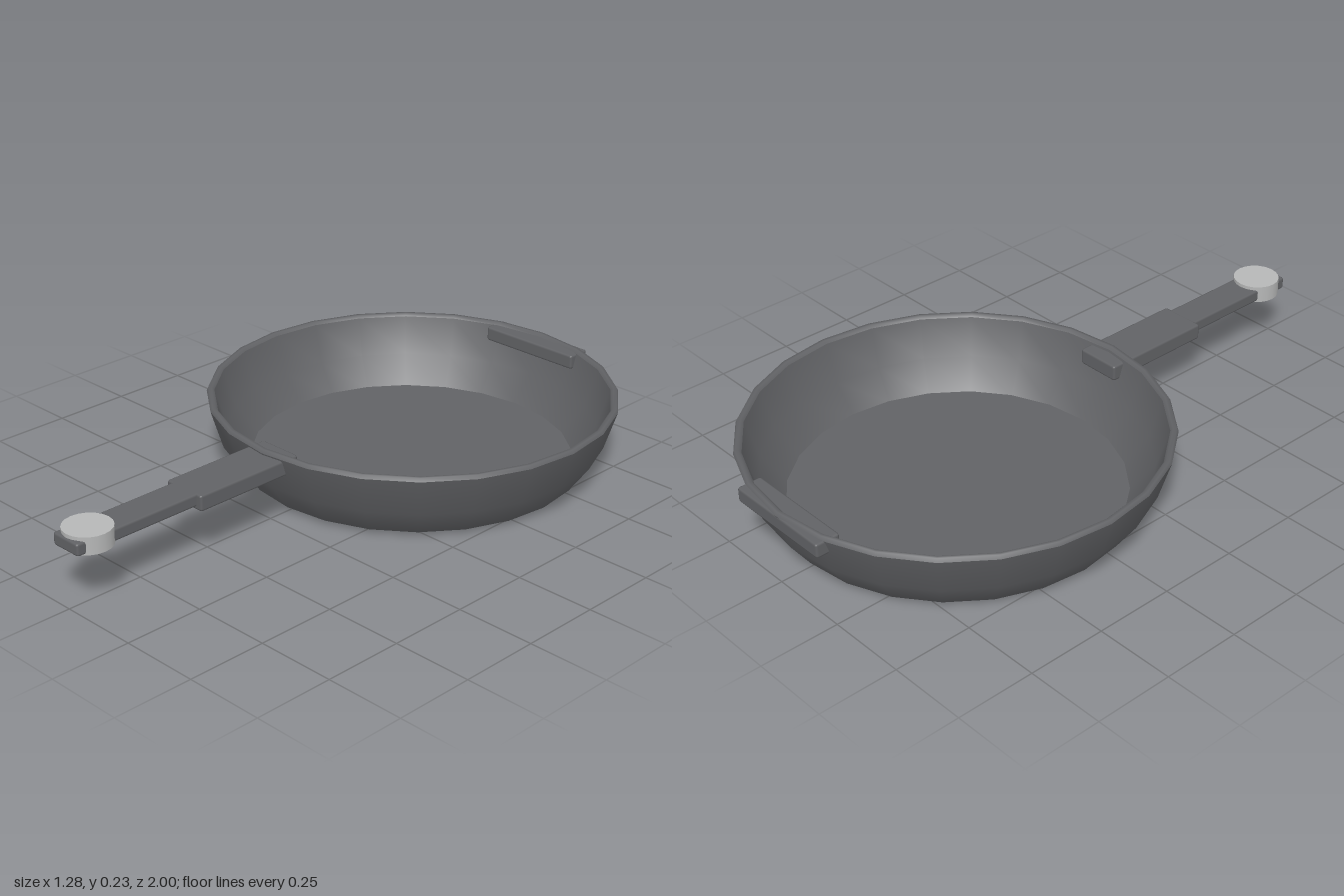
import * as THREE from 'three';
import { RoundedBoxGeometry } from 'three/addons/geometries/RoundedBoxGeometry.js';

export function createModel() {
  const model = new THREE.Group();
  model.name = 'fryingPan';

  const iron = new THREE.MeshStandardMaterial({ color: 0x616265 });
  iron.name = 'dark iron';
  const steel = new THREE.MeshStandardMaterial({ color: 0xb6b7b7 });
  steel.name = 'light steel';

  const add = (parent, name, geometry, material, x = 0, y = 0, z = 0) => {
    const mesh = new THREE.Mesh(geometry, material);
    mesh.name = name;
    mesh.position.set(x, y, z);
    parent.add(mesh);
    return mesh;
  };

  // Pan body: one profile, split where the surface has a hard edge
  const body = new THREE.Group();
  body.name = 'panBody';
  body.position.z = -0.36;
  model.add(body);
  const sections = {
    base: [[0, 0], [0.515, 0]],
    outerWall: [[0.515, 0], [0.54, 0.012], [0.602, 0.1], [0.64, 0.224]],
    rim: [[0.64, 0.224], [0.634, 0.235], [0.624, 0.235], [0.616, 0.226]],
    innerWall: [[0.616, 0.226], [0.578, 0.105], [0.505, 0.02]],
    floor: [[0.505, 0.02], [0, 0.02]],
  };
  for (const [name, points] of Object.entries(sections)) {
    const profile = points.map(([r, y]) => new THREE.Vector2(r, y));
    add(body, name, new THREE.LatheGeometry(profile, 24), iron);
  }

  // Bevelled bars given by their limits in x, y and z
  const bar = (name, halfWidth, y0, y1, z0, z1) => add(
    model, name,
    new RoundedBoxGeometry(2 * halfWidth, y1 - y0, z1 - z0, 1, 0.008),
    iron, 0, (y0 + y1) / 2, (z0 + z1) / 2);

  bar('handleSocket', 0.073, 0.167, 0.219, 0.205, 0.58);
  bar('handleGrip', 0.053, 0.178, 0.218, 0.56, 1);
  bar('helperHandle', 0.18, 0.178, 0.226, -1, -0.92);

  // Round end of the handle
  add(model, 'handleEndDisc', new THREE.CylinderGeometry(0.073, 0.073, 0.054, 20), steel, 0, 0.202, 0.922);

  return model;
}
